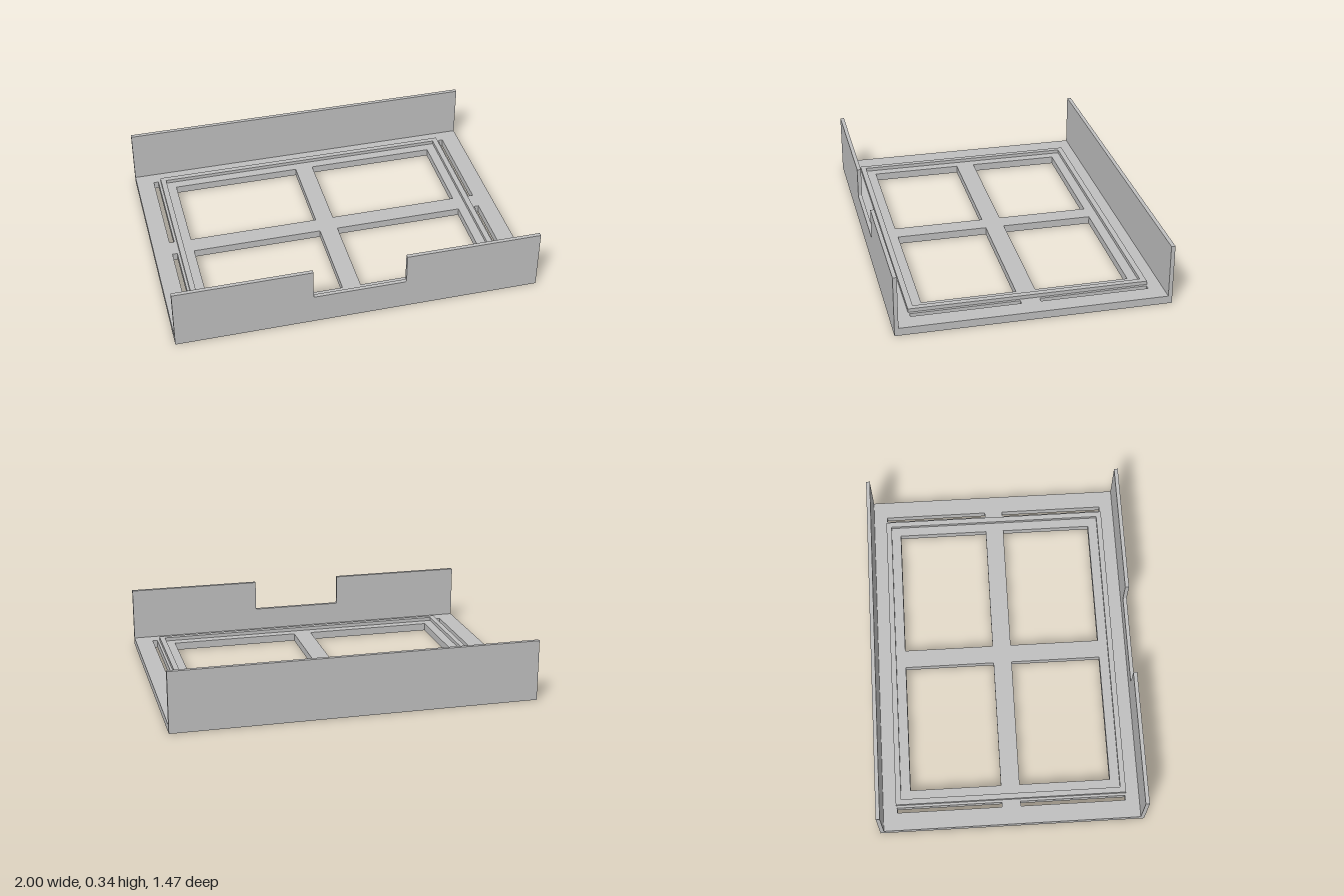
import * as THREE from 'three';

const W = 1, D = 0.733, BASE = 0.043, WALL = 0.0215, TOP = 0.337;

// Traces a rectangle onto a Shape or Path
function rect(path, x0, y0, x1, y1) {
  path.moveTo(x0, y0);
  path.lineTo(x1, y0);
  path.lineTo(x1, y1);
  path.lineTo(x0, y1);
  path.closePath();
  return path;
}

const extrude = (shape, depth) =>
  new THREE.ExtrudeGeometry(shape, { depth, bevelEnabled: false, curveSegments: 6 });

export function createModel() {
  const model = new THREE.Group();
  model.name = 'tray';
  const grey = new THREE.MeshStandardMaterial({ color: 0xbfbfbf });
  grey.name = 'light grey';

  const add = (name, geometry) => {
    const mesh = new THREE.Mesh(geometry, grey);
    mesh.name = name;
    model.add(mesh);
    return mesh;
  };

  // Base plate with four windows and four narrow side slots
  const plate = rect(new THREE.Shape(), -W, -D, W, D);
  for (const sx of [-1, 1]) {
    for (const sz of [-1, 1]) {
      const hole = (x0, z0, x1, z1) => plate.holes.push(rect(new THREE.Path(),
        Math.min(sx * x0, sx * x1), Math.min(sz * z0, sz * z1),
        Math.max(sx * x0, sx * x1), Math.max(sz * z0, sz * z1)));
      hole(0.051, 0.052, 0.778, 0.557);
      hole(0.874, 0.052, 0.901, 0.634);
    }
  }
  add('basePlate', extrude(plate, BASE).rotateX(-Math.PI / 2));

  // Low raised rim around the windows
  const rim = rect(new THREE.Shape(), -0.86, -0.64, 0.86, 0.64);
  rim.holes.push(rect(new THREE.Path(), -0.83, -0.61, 0.83, 0.61));
  add('raisedRim', extrude(rim, 0.02).rotateX(-Math.PI / 2)).position.y = BASE;

  // Plain back wall
  const back = rect(new THREE.Shape(), -W, BASE, W, TOP);
  add('backWall', extrude(back, WALL)).position.z = -D;

  // Front wall with a notch that has slightly rounded lower corners
  const n = 0.254, ny = 0.168, r = 0.01;
  const front = new THREE.Shape();
  front.moveTo(-W, BASE);
  front.lineTo(W, BASE);
  front.lineTo(W, TOP);
  front.lineTo(n, TOP);
  front.lineTo(n, ny + r);
  front.quadraticCurveTo(n, ny, n - r, ny);
  front.lineTo(-n + r, ny);
  front.quadraticCurveTo(-n, ny, -n, ny + r);
  front.lineTo(-n, TOP);
  front.lineTo(-W, TOP);
  front.closePath();
  add('frontWall', extrude(front, WALL)).position.z = D - WALL;

  return model;
}
